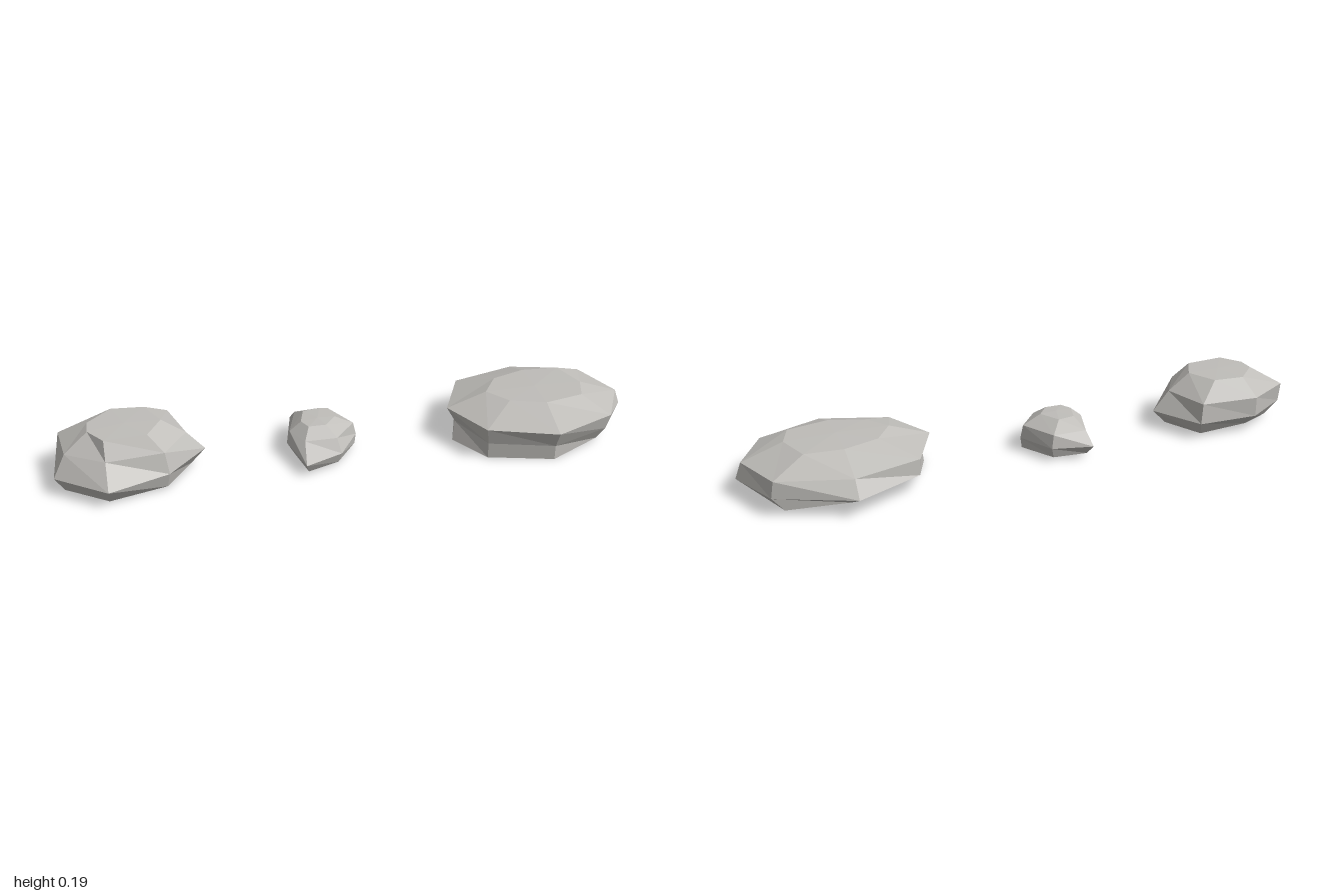
import * as THREE from 'three';

// Stone skinned over horizontal rings of [x, z] corners, listed from the ground up.
function makeRock(name, rings, crown, material) {
  const pos = [];
  const tri = (a, b, c) => pos.push(...a, ...b, ...c);
  const loops = rings.map(({ y, pts }) => pts.map(([x, z], i) => [x, Array.isArray(y) ? y[i] : y, z]));
  const n = loops[0].length;

  // sides
  for (let r = 0; r < loops.length - 1; r++) {
    for (let i = 0; i < n; i++) {
      const j = (i + 1) % n;
      const a = loops[r][i], b = loops[r][j], c = loops[r + 1][j], d = loops[r + 1][i];
      tri(a, d, c);
      tri(a, c, b);
    }
  }
  // crown and flat underside
  const top = loops[loops.length - 1], base = loops[0];
  const mid = [0, 1, 2].map(k => base.reduce((s, p) => s + p[k], 0) / n);
  for (let i = 0; i < n; i++) {
    const j = (i + 1) % n;
    tri(crown, top[j], top[i]);
    tri(mid, base[i], base[j]);
  }
  const geo = new THREE.BufferGeometry();
  geo.setAttribute('position', new THREE.Float32BufferAttribute(pos, 3));
  geo.computeVertexNormals();
  const mesh = new THREE.Mesh(geo, material);
  mesh.name = name;
  return mesh;
}

export function createModel() {
  const group = new THREE.Group();
  group.name = 'rocks';
  const stone = new THREE.MeshStandardMaterial({ color: 0xbfbdb9, flatShading: true });
  stone.name = 'stone grey';

  // broad flat rock, eight sided
  group.add(makeRock('largeFlatRock', [
    { y: [0.01, 0.01, 0, 0, 0, 0, 0, 0.01],
      pts: [[0.93, 0.02], [0.86, 0.16], [0.67, 0.25], [0.45, 0.19], [0.365, 0.05], [0.48, -0.08], [0.67, -0.165], [0.88, -0.16]] },
    { y: [0.06, 0.057, 0.052, 0.055, 0.06, 0.06, 0.06, 0.06],
      pts: [[1, 0.02], [0.88, 0.18], [0.67, 0.25], [0.45, 0.19], [0.38, 0.02], [0.445, -0.175], [0.67, -0.28], [0.92, -0.165]] },
    { y: 0.114,
      pts: [[0.98, 0.02], [0.89, 0.19], [0.67, 0.28], [0.44, 0.2], [0.35, 0.02], [0.44, -0.17], [0.67, -0.235], [0.91, -0.16]] },
    { y: 0.163,
      pts: [[0.84, 0.02], [0.81, 0.11], [0.67, 0.14], [0.55, 0.1], [0.49, 0.02], [0.55, -0.07], [0.67, -0.11], [0.8, -0.1]] },
  ], [0.67, 0.167, 0.02], stone));

  // tall rounded rock, seven sided
  group.add(makeRock('tallRock', [
    { y: 0.008,
      pts: [[-0.97, 0.1], [-0.93, -0.05], [-0.82, -0.1], [-0.62, -0.12], [-0.55, 0.02], [-0.64, 0.15], [-0.83, 0.2]] },
    { y: 0.06,
      pts: [[-1, 0.11], [-0.98, -0.06], [-0.82, -0.16], [-0.6, -0.155], [-0.5, 0.02], [-0.63, 0.16], [-0.83, 0.235]] },
    { y: 0.13,
      pts: [[-0.96, 0.08], [-0.98, -0.07], [-0.82, -0.16], [-0.61, -0.145], [-0.56, 0.02], [-0.64, 0.14], [-0.83, 0.16]] },
    { y: 0.188,
      pts: [[-0.88, 0.05], [-0.88, -0.01], [-0.8, -0.09], [-0.69, -0.08], [-0.64, 0.02], [-0.69, 0.11], [-0.83, 0.12]] },
  ], [-0.76, 0.19, 0.02], stone));

  // small rock, six sided
  group.add(makeRock('smallRock', [
    { y: 0.008,
      pts: [[-0.2, 0.02], [-0.17, -0.12], [-0.05, -0.11], [0.02, 0.01], [-0.06, 0.12], [-0.17, 0.16]] },
    { y: 0.045,
      pts: [[-0.22, 0.02], [-0.18, -0.155], [-0.04, -0.12], [0.025, 0.01], [-0.05, 0.13], [-0.18, 0.185]] },
    { y: 0.09,
      pts: [[-0.21, 0.02], [-0.17, -0.11], [-0.05, -0.11], [0.015, 0.01], [-0.06, 0.1], [-0.17, 0.1]] },
    { y: 0.123,
      pts: [[-0.17, 0.02], [-0.15, -0.05], [-0.09, -0.06], [-0.05, 0.01], [-0.09, 0.06], [-0.15, 0.06]] },
  ], [-0.11, 0.126, 0.01], stone));

  return group;
}
